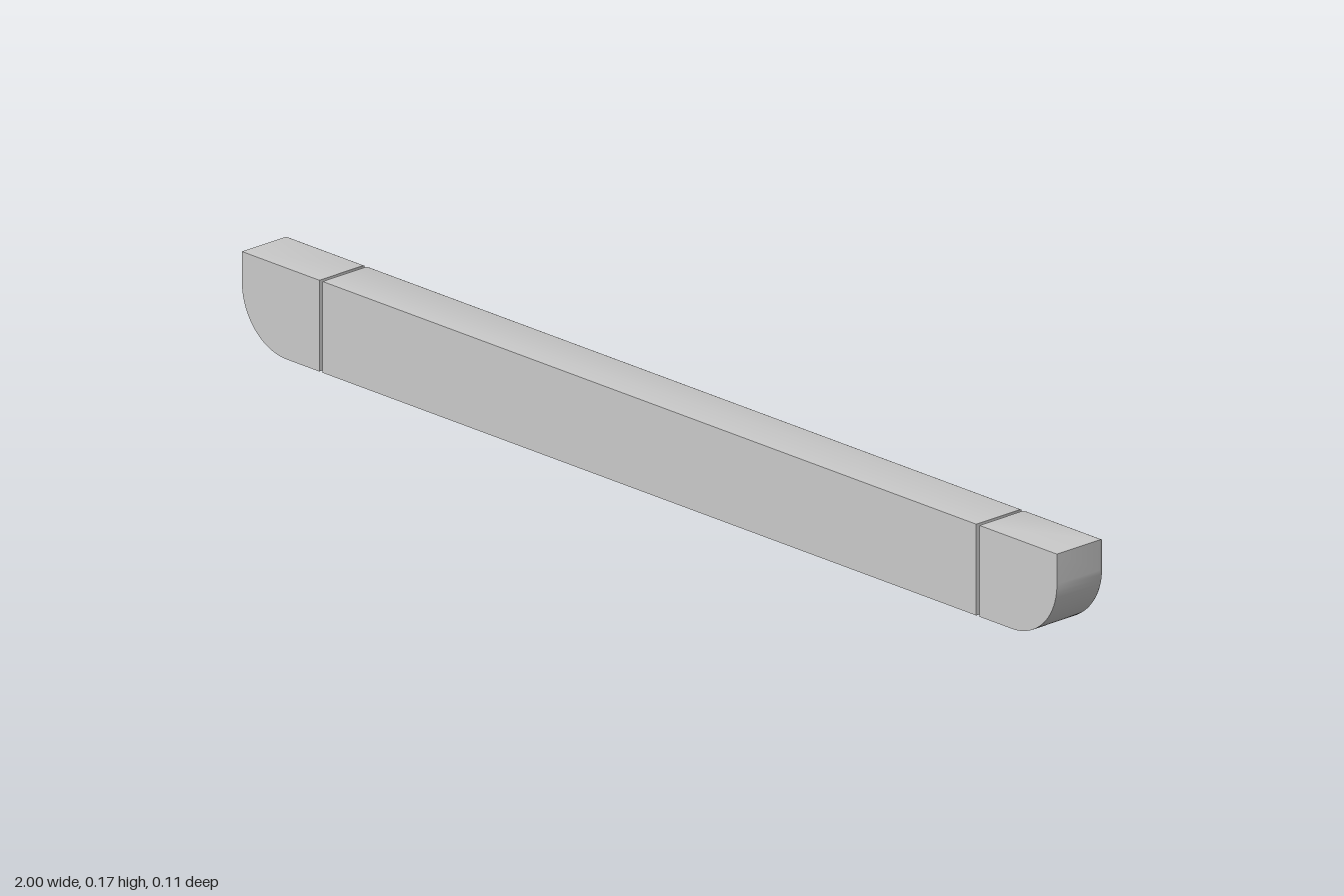
import * as THREE from 'three';
import { toCreasedNormals } from 'three/addons/utils/BufferGeometryUtils.js';

const HEIGHT = 0.165, FRONT = 0.0565, BACK = -0.0565, BEVEL = 0.013;

// Counter-clockwise outline; the two bottom corners may be rounded
function outline(x0, x1, rLeft, rRight, inset) {
  const pts = [];
  const corner = (x, sign, r, start) => {
    if (r === 0) return pts.push([x - sign * inset, inset]);
    for (let i = 0; i <= 20; i++) {
      const a = start + (i / 20) * Math.PI / 2;
      pts.push([x - sign * r + (r - inset) * Math.cos(a), r + (r - inset) * Math.sin(a)]);
    }
  };
  corner(x0, -1, rLeft, Math.PI);
  corner(x1, 1, rRight, Math.PI * 1.5);
  pts.push([x1 - inset, HEIGHT - inset], [x0 + inset, HEIGHT - inset]);
  return pts;
}

// Solid with a flat sharp front and a rounded edge around the back
function bevelledBlock(name, x0, x1, rLeft, rRight, material) {
  const sections = [[0, FRONT]];
  for (let i = 0; i <= 5; i++) {
    const a = (i / 5) * Math.PI / 2;
    sections.push([BEVEL * (1 - Math.cos(a)), BACK + BEVEL * (1 - Math.sin(a))]);
  }
  const pos = [], index = [];
  for (const [inset, z] of sections)
    for (const [x, y] of outline(x0, x1, rLeft, rRight, inset)) pos.push(x, y, z);

  const n = pos.length / 3 / sections.length, last = (sections.length - 1) * n;
  const front = pos.length / 3, back = front + 1;
  const cx = (x0 + x1) / 2;
  pos.push(cx, HEIGHT * 0.6, FRONT, cx, HEIGHT * 0.6, BACK);
  for (let j = 0; j < n; j++) {
    const k = (j + 1) % n;
    for (let s = 0; s < last; s += n)
      index.push(s + j, s + n + j, s + k, s + k, s + n + j, s + n + k);
    index.push(front, j, k, back, last + k, last + j);
  }
  const geo = new THREE.BufferGeometry();
  geo.setAttribute('position', new THREE.Float32BufferAttribute(pos, 3));
  geo.setIndex(index);
  const mesh = new THREE.Mesh(toCreasedNormals(geo, 0.5), material);
  mesh.name = name;
  return mesh;
}

export function createModel() {
  const group = new THREE.Group();
  group.name = 'segmentedBar';
  const material = new THREE.MeshStandardMaterial({ color: 0xcccccc });
  // Long middle bar and two end caps, separated by narrow gaps
  group.add(
    bevelledBlock('middleBar', -0.802, 0.802, 0, 0, material),
    bevelledBlock('rightEndCap', -1, -0.81, 0.11, 0, material),
    bevelledBlock('leftEndCap', 0.81, 1, 0, 0.11, material),
  );
  return group;
}
